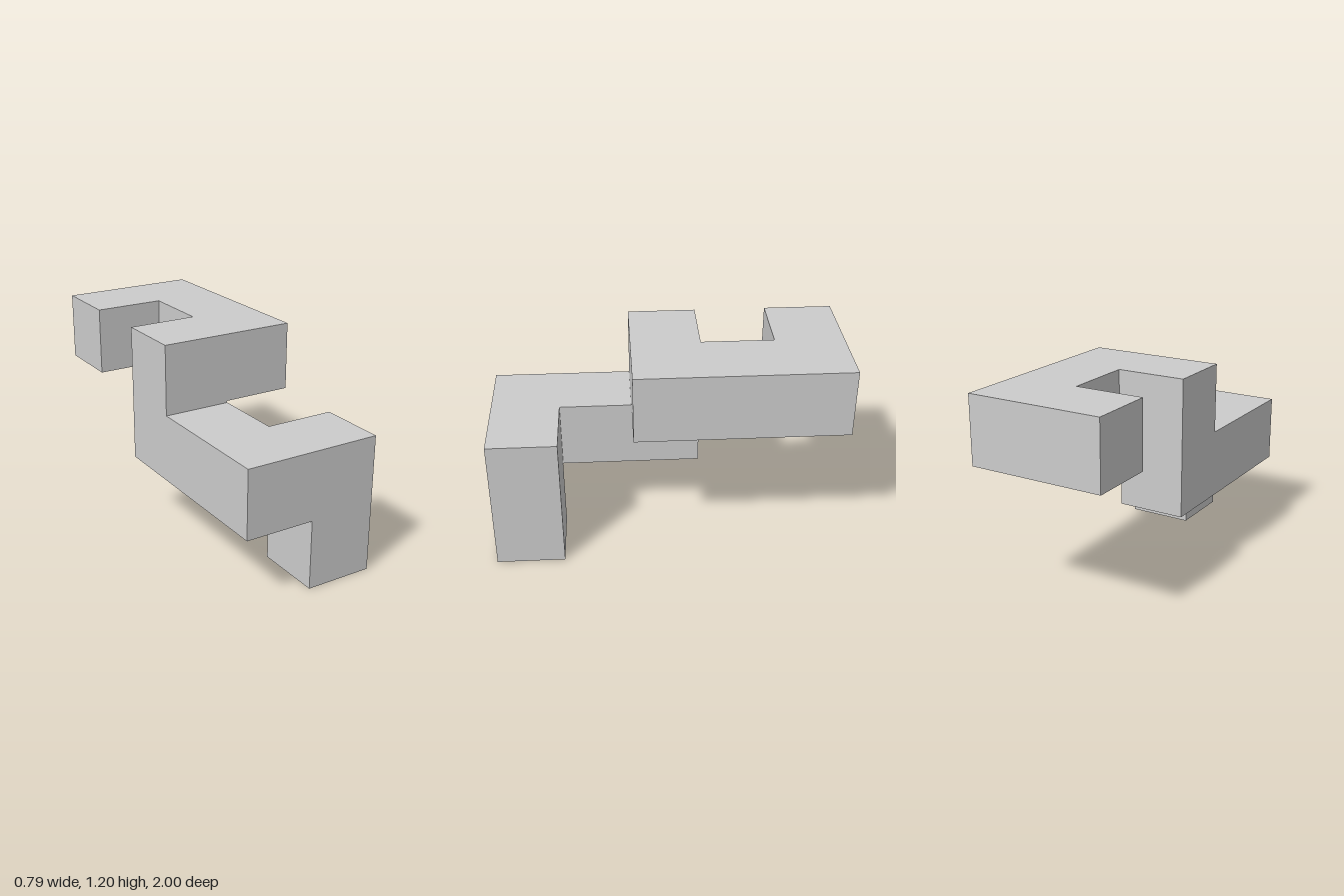
import * as THREE from 'three';

// Chain of equal cubes, each cell inset a little so unjoined neighbours leave a thin gap
const U = 0.402, E = 0.005;
const OUT = U - E;            // outer half width
const H = U - 2 * E;          // thickness of a bar
const R = U / 2 - E;          // half a bar
const END = 2 * U + R;        // half the overall length

const material = new THREE.MeshStandardMaterial({ color: 0xcccccc, flatShading: true });

function add(group, name, geometry) {
  const mesh = new THREE.Mesh(geometry, material);
  mesh.name = name;
  group.add(mesh);
}

function extrude(points, depth) {
  const shape = new THREE.Shape(points.map(([x, y]) => new THREE.Vector2(x, y)));
  return new THREE.ExtrudeGeometry(shape, { depth, bevelEnabled: false });
}

function box(x0, x1, y0, y1, z0, z1) {
  return new THREE.BoxGeometry(x1 - x0, y1 - y0, z1 - z0)
    .translate((x0 + x1) / 2, (y0 + y1) / 2, (z0 + z1) / 2);
}

export function createModel() {
  const group = new THREE.Group();
  group.name = 'cubeChain';

  // U-shaped upper bar, drawn in plan (x, z) and open toward -x
  const upper = extrude([
    [-OUT, -END], [OUT, -END], [OUT, R], [-OUT, R],
    [-OUT, -R], [E, -R], [E, -END + H], [-OUT, -END + H],
  ], H);
  upper.rotateX(Math.PI / 2).translate(0, 2 * U + H, 0);
  add(group, 'upperBar', upper);

  // Joint between the two levels
  add(group, 'joint', box(-OUT, -E, U + H, 2 * U, -R, R));

  // Straight arm running forward under the upper bar
  add(group, 'lowerArm', box(-OUT, -E, U, U + H, -R, END - H));

  // Front corner with the leg, drawn in elevation (x, y)
  const corner = extrude([
    [E, 0], [OUT, 0], [OUT, U + H], [-OUT, U + H], [-OUT, U], [E, U],
  ], H);
  corner.translate(0, 0, END - H);
  add(group, 'frontLeg', corner);

  return group;
}
